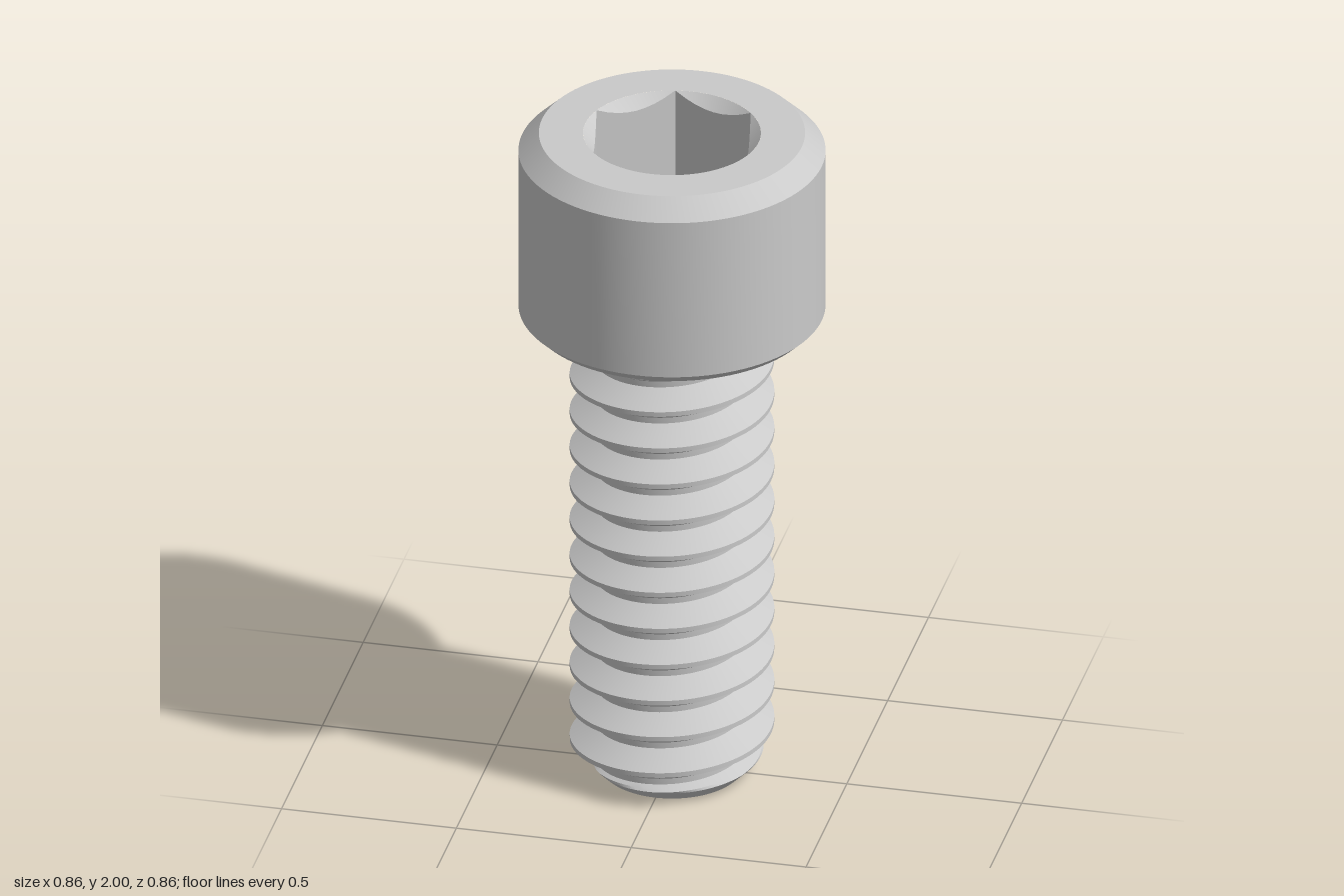
import * as THREE from 'three';
import { toCreasedNormals } from 'three/addons/utils/BufferGeometryUtils.js';

const HEAD_Y = 1.43, TOP_Y = 2;
const CREST = 0.285, ROOT = 0.214, PITCH = 0.1143, THREAD_PHASE = 0.03;
const SOCKET_R = 0.248, SOCKET_FLOOR = 1.72, HEX_TURN = THREE.MathUtils.degToRad(19);

const polar = (r, a, y) => new THREE.Vector3(r * Math.cos(a), y, r * Math.sin(a));

// Skin rows of points into a surface, skipping collapsed triangles
function skin(rows) {
  const pos = [];
  const tri = (a, b, c) => {
    const area = b.clone().sub(a).cross(c.clone().sub(a)).length();
    if (area > 1e-8) for (const v of [a, b, c]) pos.push(v.x, v.y, v.z);
  };
  for (let j = 0; j < rows.length - 1; j++) {
    const lo = rows[j], hi = rows[j + 1];
    for (let i = 0; i < lo.length - 1; i++) {
      tri(lo[i], hi[i], hi[i + 1]);
      tri(lo[i], hi[i + 1], lo[i + 1]);
    }
  }
  const geo = new THREE.BufferGeometry();
  geo.setAttribute('position', new THREE.Float32BufferAttribute(pos, 3));
  return toCreasedNormals(geo, 0.4);
}

// Right-hand 60 degree thread whose rows follow the helix, cut by the tip chamfer
function threadGeometry() {
  const SEG = 96, FLANK = 6;
  const flat = PITCH / 16, flankEnd = flat + (CREST - ROOT) / Math.sqrt(3);
  const half = [];
  for (let i = 0; i <= FLANK; i++) half.push(flat + (flankEnd - flat) * i / FLANK);
  const offsets = [...half.map(d => -d).reverse(), ...half];
  const rows = [];
  for (let k = -1; k <= 14; k++) {
    for (const off of offsets) {
      const row = [];
      for (let i = 0; i <= SEG; i++) {
        const a = i / SEG * Math.PI * 2;
        const crestY = THREAD_PHASE - PITCH * i / SEG;
        const y = THREE.MathUtils.clamp(crestY + k * PITCH + off, 0, HEAD_Y + 0.002);
        const turns = (y - crestY) / PITCH;
        const d = Math.abs(turns - Math.round(turns)) * PITCH;
        const r = THREE.MathUtils.clamp(CREST - (d - flat) * Math.sqrt(3), ROOT, CREST);
        row.push(polar(Math.min(r, 0.2 + y), a, y));
      }
      rows.push(row);
    }
  }
  return skin(rows);
}

// Hexagonal socket: conical lead-in cut by six flat walls
function socketGeometry() {
  const STEPS = 8, rim = [], edge = [], floor = [];
  const apothem = SOCKET_R * Math.cos(Math.PI / 6);
  for (let i = 0; i <= 6 * STEPS; i++) {
    const local = (i % STEPS) / STEPS * Math.PI / 3 - Math.PI / 6;
    const a = HEX_TURN + i / STEPS * Math.PI / 3;
    const r = apothem / Math.cos(local);
    rim.push(polar(SOCKET_R, a, TOP_Y));
    edge.push(polar(r, a, TOP_Y - (SOCKET_R - r)));
    floor.push(polar(r, a, SOCKET_FLOOR));
  }
  return skin([rim, edge, floor]);
}

export function createModel() {
  const group = new THREE.Group();
  const steel = new THREE.MeshStandardMaterial({ color: 0xcacaca });
  steel.name = 'steel grey';
  const add = (name, geo) => {
    const mesh = new THREE.Mesh(geo, steel);
    mesh.name = name;
    group.add(mesh);
    return mesh;
  };

  // Cylindrical head with chamfered rims and an open top
  const profile = [[0, HEAD_Y], [0.4, HEAD_Y], [0.428, 1.457], [0.428, 1.945], [0.371, TOP_Y], [SOCKET_R, TOP_Y]]
    .map(([x, y]) => new THREE.Vector2(x, y));
  add('head', toCreasedNormals(new THREE.LatheGeometry(profile, 96), 0.4));

  // Socket walls and floor
  add('hexSocket', socketGeometry());
  const floor = add('socketFloor', new THREE.CircleGeometry(SOCKET_R, 6, -HEX_TURN).rotateX(-Math.PI / 2));
  floor.position.y = SOCKET_FLOOR;

  // Threaded shank and its flat tip
  add('threadedShank', threadGeometry());
  add('shankTip', new THREE.CircleGeometry(0.2, 96).rotateX(Math.PI / 2));

  return group;
}
